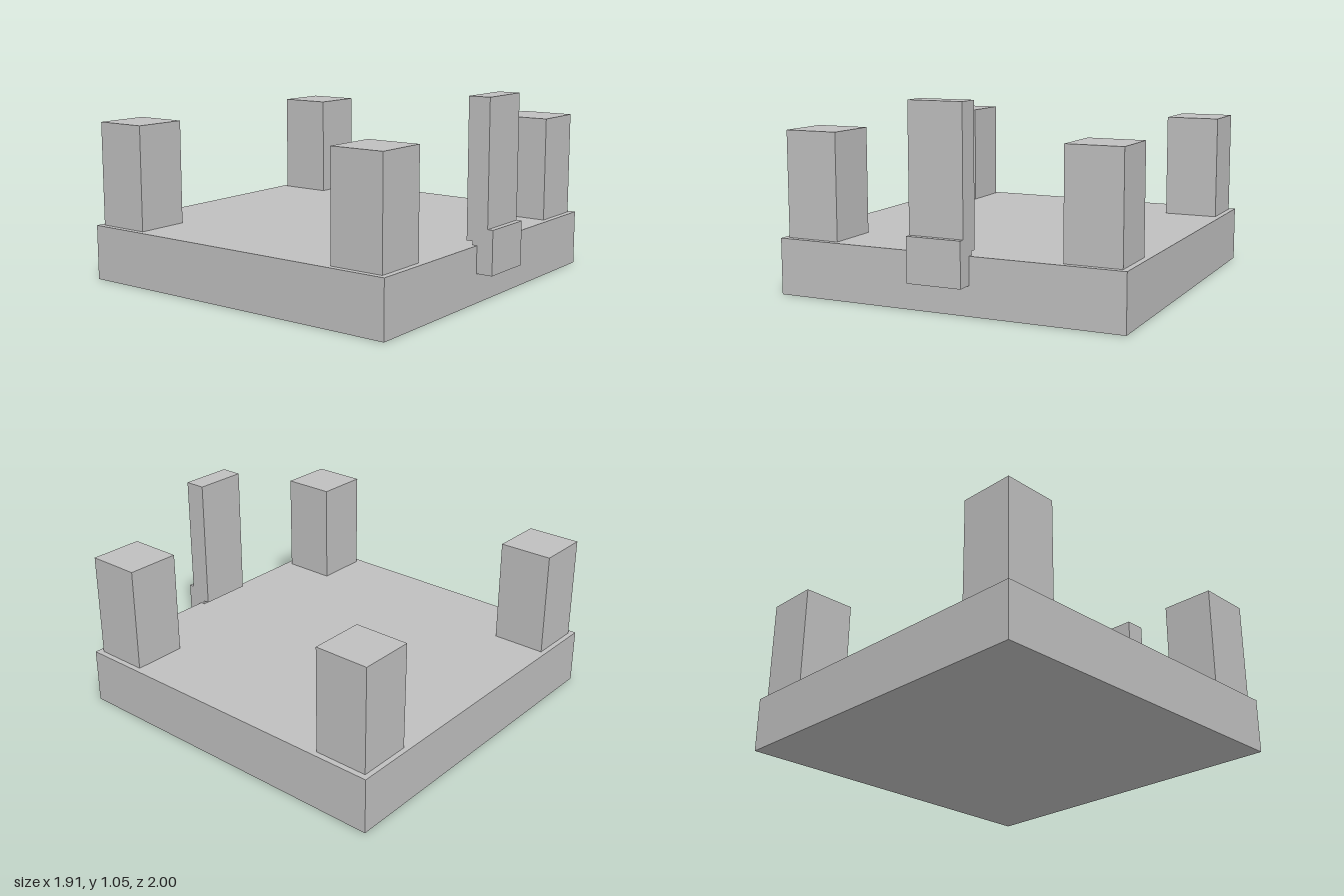
import * as THREE from 'three';

export function createModel() {
  const model = new THREE.Group();
  const grey = new THREE.MeshStandardMaterial({ color: 0xbfbfbf });
  grey.name = 'grey';

  // Box given by its lower and upper corners
  const addBox = (name, [x0, y0, z0], [x1, y1, z1]) => {
    const mesh = new THREE.Mesh(new THREE.BoxGeometry(x1 - x0, y1 - y0, z1 - z0), grey);
    mesh.position.set((x0 + x1) / 2, (y0 + y1) / 2, (z0 + z1) / 2);
    mesh.name = name;
    model.add(mesh);
  };

  // Slab
  addBox('base', [-0.955, 0, -1], [0.955, 0.3, 0.91]);

  // Four corner posts
  const half = 0.148;
  for (const [side, x] of [['left', 0.776], ['right', -0.776]]) {
    for (const [end, z] of [['Front', 0.73], ['Back', -0.824]]) {
      addBox(side + end + 'Post', [x - half, 0.3, z - half], [x + half, 0.865, z + half]);
    }
  }

  // Upright panel raised just above the slab, held by a block on the front edge
  addBox('frontPanel', [-half, 0.32, 0.85], [half, 1.05, 0.97]);
  addBox('frontBracket', [-half, 0.155, 0.885], [half, 0.39, 1]);

  return model;
}
